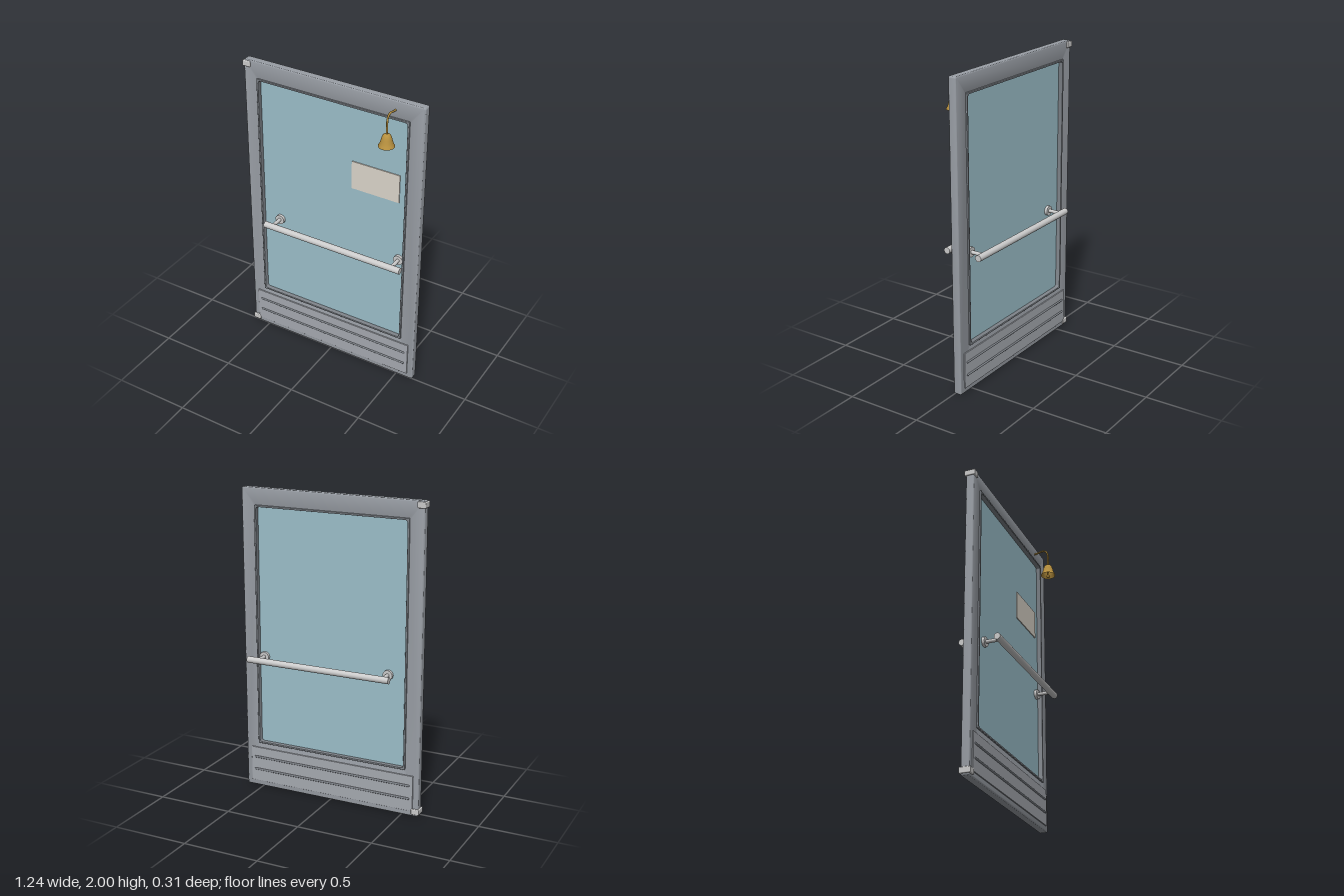
import * as THREE from 'three';
import { toCreasedNormals } from 'three/addons/utils/BufferGeometryUtils.js';
import { RoundedBoxGeometry } from 'three/addons/geometries/RoundedBoxGeometry.js';

const MID = -0.0195; // z of the door's middle plane
const CX = 0.002; // x of the door's centre line

const mat = (color) => new THREE.MeshStandardMaterial({ color });

function add(parent, name, geometry, material, x = 0, y = 0, z = 0) {
  const mesh = new THREE.Mesh(geometry, material);
  mesh.name = name;
  mesh.position.set(x, y, z);
  parent.add(mesh);
  return mesh;
}

// Rounded rectangle outline centred on x = 0, from y0 to y1
function rect(w, y0, y1, r, Type = THREE.Shape) {
  const h = w / 2, s = new Type();
  s.moveTo(-h + r, y0);
  s.lineTo(h - r, y0).quadraticCurveTo(h, y0, h, y0 + r);
  s.lineTo(h, y1 - r).quadraticCurveTo(h, y1, h - r, y1);
  s.lineTo(-h + r, y1).quadraticCurveTo(-h, y1, -h, y1 - r);
  s.lineTo(-h, y0 + r).quadraticCurveTo(-h, y0, -h + r, y0);
  return s;
}

// Bevelled slab with an opening, centred on z = 0
function frameGeometry(outer, hole, depth, bevel) {
  outer.holes.push(hole);
  const g = new THREE.ExtrudeGeometry(outer, {
    depth: depth - 2 * bevel, bevelThickness: bevel, bevelSize: bevel,
    bevelOffset: -bevel, bevelSegments: 3, curveSegments: 5,
  });
  g.translate(0, 0, -depth / 2 + bevel);
  return toCreasedNormals(g, 0.6);
}

export function createModel() {
  const door = new THREE.Group();
  door.name = 'door';
  const metal = mat(0xcccccc), frameMat = mat(0x9a9fa6), trimMat = mat(0x7f848a);
  const plateMat = mat(0xa6aab1), glassMat = mat(0x9cbfca), brass = mat(0xb8913f);
  brass.side = THREE.DoubleSide;

  // Frame, glazing bead and pane
  add(door, 'frame', frameGeometry(rect(1.233, 0, 2, 0.012),
    rect(1.026, 0.317, 1.881, 0.008, THREE.Path), 0.053, 0.008), frameMat, CX, 0, MID);
  add(door, 'glazingBead', frameGeometry(rect(1.048, 0.306, 1.892, 0.006),
    rect(1.024, 0.318, 1.88, 0.02, THREE.Path), 0.073, 0.003), trimMat, CX, 0, MID);
  add(door, 'glassPane', new THREE.BoxGeometry(1.036, 1.574, 0.012), glassMat, CX, 1.099, MID);

  // Notice on the front of the pane
  add(door, 'notice', new THREE.BoxGeometry(0.328, 0.19, 0.006), mat(0xddd6cb), 0.302, 1.41, MID + 0.009);

  for (const side of [1, -1]) {
    const label = side > 0 ? 'front' : 'back';

    // Kick plate with two half-round ribs
    const kick = new THREE.Group();
    kick.name = label + 'KickPlate';
    door.add(kick);
    add(kick, 'plate', new RoundedBoxGeometry(1.158, 0.238, 0.012, 2, 0.003), plateMat,
      CX, 0.153, MID + side * 0.0275);
    for (const y of [0.117, 0.204]) {
      const rib = add(kick, 'rib', new THREE.CapsuleGeometry(0.007, 1.1, 4, 12), trimMat,
        CX, y, MID + side * 0.0335);
      rib.rotation.z = Math.PI / 2;
    }

    // Push bar on two posts with round flanges
    const handle = new THREE.Group();
    handle.name = label + 'PushBar';
    door.add(handle);
    const bar = add(handle, 'bar', new THREE.CylinderGeometry(0.021, 0.021, 0.985, 24), metal,
      0.052, 0.905, MID + side * 0.1145);
    bar.rotation.z = Math.PI / 2;
    for (const x of [-0.39, 0.479]) {
      const post = add(handle, 'post', new THREE.CylinderGeometry(0.012, 0.012, 0.109, 16), metal,
        x, 0.905, MID + side * 0.06);
      const flange = add(handle, 'flange', new THREE.CylinderGeometry(0.032, 0.032, 0.018, 24), metal,
        x, 0.905, MID + side * 0.015);
      post.rotation.x = flange.rotation.x = Math.PI / 2;
    }
  }

  // Pivot blocks at the hinge-side corners
  for (const y of [0.032, 1.974])
    add(door, 'pivotBlock', new RoundedBoxGeometry(0.054, 0.038, 0.073, 3, 0.006), metal, -0.594, y, MID);

  // Bell hanging from a bent arm
  const bell = new THREE.Group();
  bell.name = 'doorBell';
  bell.position.set(0.43, 0, 0.105);
  door.add(bell);
  const path = new THREE.CatmullRomCurve3([
    [1.94, -0.105], [1.944, -0.075], [1.952, -0.04], [1.945, -0.015], [1.915, -0.001], [1.87, 0], [1.825, 0],
  ].map(([y, z]) => new THREE.Vector3(0, y, z)));
  add(bell, 'arm', new THREE.TubeGeometry(path, 32, 0.006, 10), brass);
  const profile = [[0.049, 0], [0.049, 0.004], [0.043, 0.014], [0.037, 0.03], [0.032, 0.05],
    [0.027, 0.066], [0.019, 0.077], [0.009, 0.081], [0, 0.082]];
  add(bell, 'bellCup', new THREE.LatheGeometry(profile.map(([r, y]) => new THREE.Vector2(r, y)), 28),
    brass, 0, 1.753, 0);
  add(bell, 'clapperRod', new THREE.CylinderGeometry(0.003, 0.003, 0.08, 8), brass, 0, 1.788, 0);
  add(bell, 'clapper', new THREE.SphereGeometry(0.012, 16, 12), brass, 0, 1.746, 0);

  return door;
}
